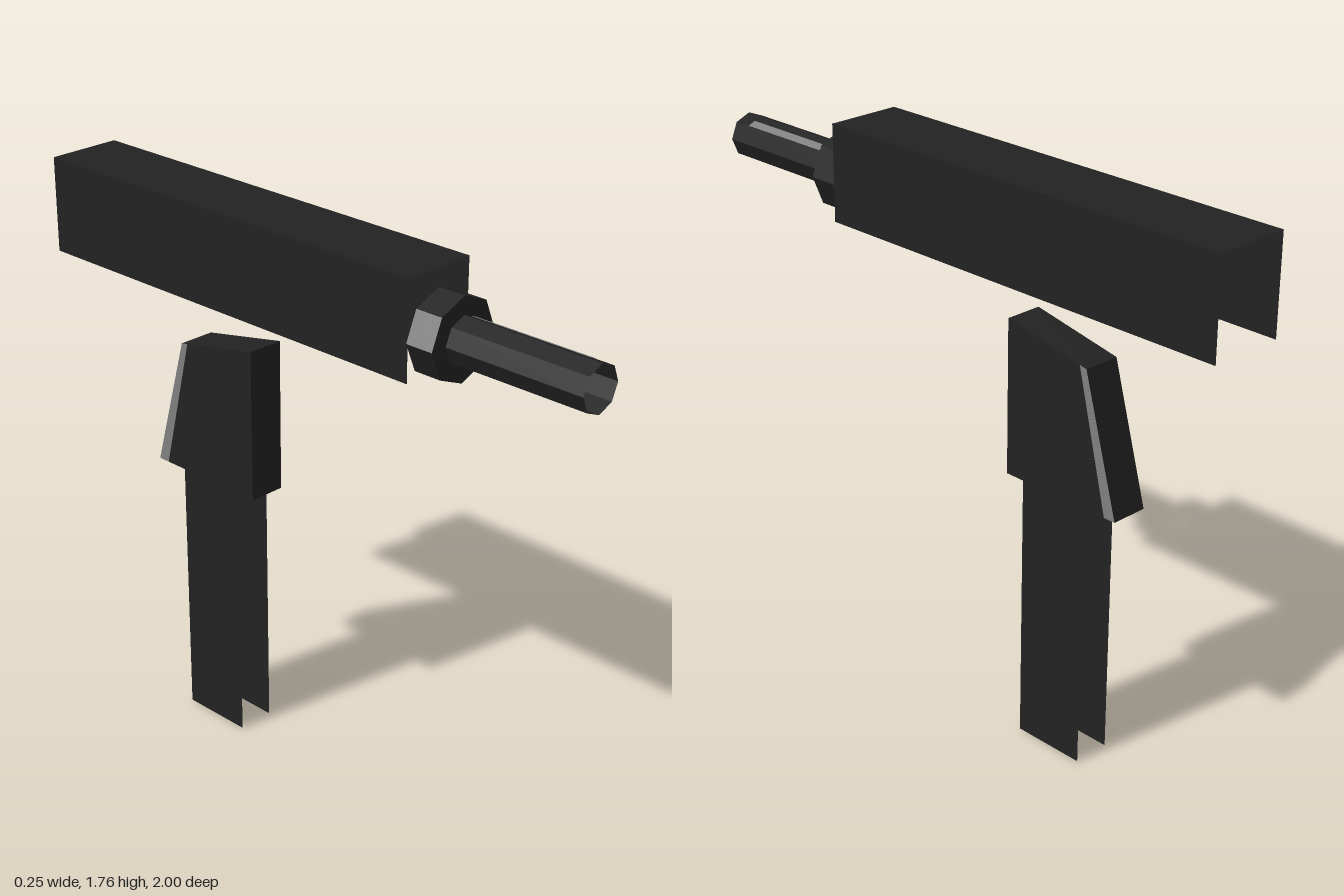
import * as THREE from 'three';

const opts = { side: THREE.DoubleSide, flatShading: true };
const black = new THREE.MeshStandardMaterial({ color: 0x222222, ...opts });
black.name = 'matte black';
const grey = new THREE.MeshStandardMaterial({ color: 0x808080, ...opts });
grey.name = 'worn grey';

const AXIS_Y = 1.578; // height of the barrel axis

export function createModel() {
  const model = new THREE.Group();

  const add = (parent, name, geometry, material) => {
    const mesh = new THREE.Mesh(geometry, material);
    mesh.name = name;
    parent.add(mesh);
    return mesh;
  };
  const group = (name) => {
    const g = new THREE.Group();
    g.name = name;
    model.add(g);
    return g;
  };
  // flat panel at constant x, outlined by [z, y] points
  const sidePanel = (points, x) => {
    const shape = new THREE.Shape(points.map(([z, y]) => new THREE.Vector2(-z, y)));
    return new THREE.ShapeGeometry(shape).rotateY(Math.PI / 2).translate(x, 0, 0);
  };
  // strip across the width, between two [z, y] points
  const crossPanel = ([z0, y0], [z1, y1], w) => {
    const g = new THREE.PlaneGeometry(w * 2, Math.hypot(z1 - z0, y1 - y0));
    g.rotateX(Math.atan2(z1 - z0, y1 - y0));
    return g.translate(0, (y0 + y1) / 2, (z0 + z1) / 2);
  };
  // open eight-sided tube along z
  const tube = (r, z0, z1, sides = 8, start = 0) =>
    new THREE.CylinderGeometry(r, r, z1 - z0, sides, 1, true, start, sides * Math.PI / 4)
      .rotateX(Math.PI / 2).translate(0, AXIS_Y, (z0 + z1) / 2);

  // receiver: folded channel, open below and at both ends
  const receiver = group('receiver');
  const RW = 0.12;
  add(receiver, 'receiverTop', crossPanel([0.455, 1.76], [-1, 1.76], RW), black);
  for (const s of [-1, 1]) {
    add(receiver, 'receiverSide',
      sidePanel([[0.455, 1.46], [0.455, 1.76], [-1, 1.76], [-1, 1.46]], s * RW), black);
  }

  // barrel with a worn streak on its upper facet
  const barrel = group('barrel');
  add(barrel, 'barrelTube', tube(0.071, 0.54, 1), black);
  const streak = new THREE.PlaneGeometry(0.027, 0.4).rotateX(-Math.PI / 2)
    .rotateZ(-Math.PI / 8).translate(0.0375, AXIS_Y + 0.057, 0.74);
  add(barrel, 'barrelStreak', streak, grey);

  // collar: ring face in front, open behind, one worn facet
  const collar = group('barrelCollar');
  add(collar, 'collarRim', tube(0.126, 0.455, 0.545, 7, Math.PI * 1.5), black);
  add(collar, 'collarWornFacet', tube(0.126, 0.455, 0.545, 1, Math.PI * 1.25), grey);
  add(collar, 'collarFace',
    new THREE.RingGeometry(0.071, 0.126, 8).translate(0, AXIS_Y, 0.545), black);

  // wedge-shaped grip head with worn rear edges
  const head = group('gripHead');
  const GW = 0.06;
  const frontLow = [-0.21, 0.85], frontTop = [-0.21, 1.335];
  const rearTop = [-0.51, 1.275], rearLow = [-0.63, 0.85];
  const wornTop = [-0.485, 1.28], wornLow = [-0.59, 0.85];
  const outline = [frontLow, frontTop, rearTop, rearLow];
  const names = ['gripHeadFront', 'gripHeadTop', 'gripHeadBack', 'gripHeadBottom'];
  outline.forEach((p, i) => add(head, names[i], crossPanel(p, outline[(i + 1) % 4], GW), black));

  // lower grip: two bare side panels
  const grip = group('grip');
  for (const s of [-1, 1]) {
    add(head, 'gripHeadSide', sidePanel([frontLow, frontTop, wornTop, wornLow], s * GW), black);
    add(head, 'gripHeadWornEdge', sidePanel([wornLow, wornTop, rearTop, rearLow], s * GW), grey);
    add(grip, 'gripPanel',
      sidePanel([[-0.275, 0], [-0.275, 0.85], [-0.515, 0.85], [-0.515, 0]], s * GW), black);
  }
  return model;
}
